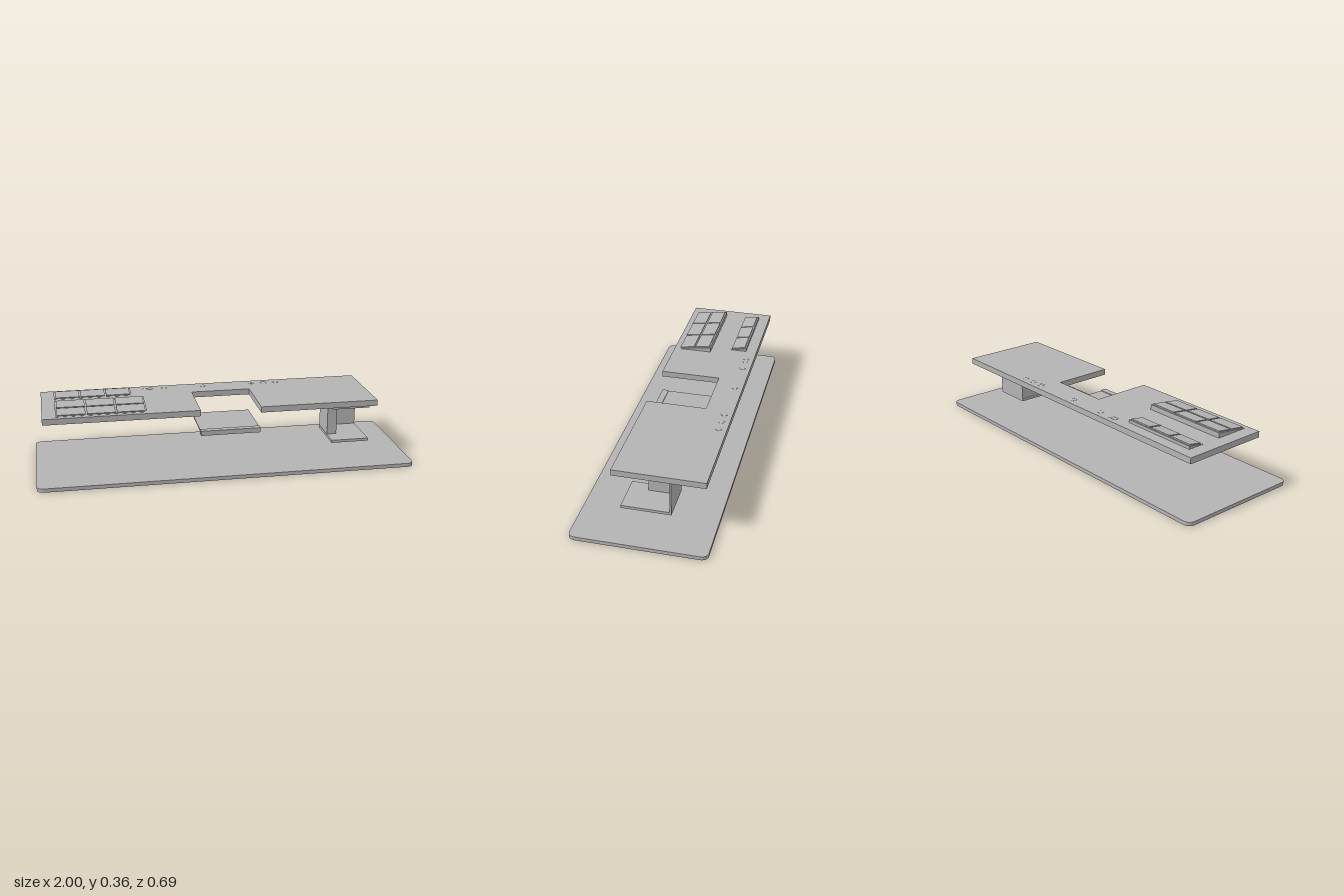
import * as THREE from 'three';

export function createModel() {
  const model = new THREE.Group();
  const grey = new THREE.MeshStandardMaterial({ color: 0xb4b4b4 });
  grey.name = 'plain grey';

  function add(name, geometry, parent = model) {
    const mesh = new THREE.Mesh(geometry, grey);
    mesh.name = name;
    parent.add(mesh);
    return mesh;
  }

  // Box given by its limits on each axis
  function slab(name, x0, x1, y0, y1, z0, z1, parent) {
    const mesh = add(name, new THREE.BoxGeometry(x1 - x0, y1 - y0, z1 - z0), parent);
    mesh.position.set((x0 + x1) / 2, (y0 + y1) / 2, (z0 + z1) / 2);
    return mesh;
  }

  // Plan outline (x, -z) raised to a horizontal plate
  function plate(name, shape, y0, y1) {
    const g = new THREE.ExtrudeGeometry(shape, { depth: y1 - y0, bevelEnabled: false, curveSegments: 6 });
    g.rotateX(-Math.PI / 2);
    g.translate(0, y0, 0);
    return add(name, g);
  }

  // Rounded floor mat
  const w = 1, d = 0.345, r = 0.035;
  const mat = new THREE.Shape();
  mat.absarc(w - r, d - r, r, 0, Math.PI / 2);
  mat.absarc(-w + r, d - r, r, Math.PI / 2, Math.PI);
  mat.absarc(-w + r, -d + r, r, Math.PI, Math.PI * 1.5);
  mat.absarc(w - r, -d + r, r, Math.PI * 1.5, Math.PI * 2);
  plate('floorMat', mat, 0, 0.02);

  // Desk top with a cut-out at the front
  const top = new THREE.Shape([
    [-0.955, -0.165], [-0.13, -0.165], [-0.13, 0.155], [0.195, 0.155],
    [0.195, -0.165], [0.84, -0.165], [0.84, 0.303], [-0.955, 0.303],
  ].map(([x, y]) => new THREE.Vector2(x, y)));
  plate('deskTop', top, 0.295, 0.327);

  // Low domes along the back of the desk
  for (const x of [-0.38, -0.35, -0.27, -0.05, 0.23, 0.3, 0.37]) {
    const dome = add('deskStud', new THREE.SphereGeometry(0.017, 16, 4, 0, Math.PI * 2, 0, Math.PI / 2));
    dome.scale.y = 0.22;
    dome.position.set(x, 0.327, -0.26);
  }

  // Lower tray with a thicker front lip
  const tray = new THREE.Group();
  tray.name = 'lowerTray';
  model.add(tray);
  slab('trayPlate', -0.13, 0.192, 0.199, 0.206, -0.15, 0.132, tray);
  slab('trayLip', -0.13, 0.192, 0.184, 0.21, 0.131, 0.165, tray);

  // Hanging holder: two shelves, a side wall and a back panel
  const holder = new THREE.Group();
  holder.name = 'hangingHolder';
  model.add(holder);
  slab('holderBottom', 0.6, 0.807, 0.083, 0.098, -0.123, 0.133, holder);
  slab('holderTop', 0.6, 0.807, 0.276, 0.292, -0.123, 0.133, holder);
  slab('holderSide', 0.602, 0.655, 0.098, 0.276, -0.115, 0.033, holder);
  slab('holderBack', 0.602, 0.807, 0.098, 0.276, -0.123, -0.115, holder);

  // Sloping wedge carrying a grid of flat pads
  function padBank(name, x0, x1, zFront, zBack, rise, rows) {
    const bank = new THREE.Group();
    bank.name = name;
    model.add(bank);
    const base = 0.327, run = zFront - zBack, gap = 0.008;
    const side = new THREE.Shape();
    side.moveTo(-zFront, base);
    side.lineTo(-zBack, base);
    side.lineTo(-zBack, base + rise);
    side.lineTo(-zFront, base + 0.001);
    const wedge = new THREE.ExtrudeGeometry(side, { depth: x1 - x0, bevelEnabled: false });
    wedge.rotateY(Math.PI / 2);
    wedge.translate(x0, 0, 0);
    add('padWedge', wedge, bank);

    const cols = 3;
    const pw = (x1 - x0 - gap * (cols + 1)) / cols;
    const pd = (run - gap * (rows + 1)) / rows;
    for (let row = 0; row < rows; row++) {
      for (let col = 0; col < cols; col++) {
        const pad = add('pad', new THREE.BoxGeometry(pw, 0.008, pd), bank);
        const along = gap + pd / 2 + row * (pd + gap);
        pad.position.set(x0 + gap + pw / 2 + col * (pw + gap),
          base + rise * along / run + 0.002, zFront - along);
        pad.rotation.x = Math.atan2(rise, run);
      }
    }
  }
  padBank('frontPadBank', -0.885, -0.41, 0.14, -0.045, 0.027, 2);
  padBank('rearPadBank', -0.885, -0.465, -0.152, -0.243, 0.016, 1);

  return model;
}
